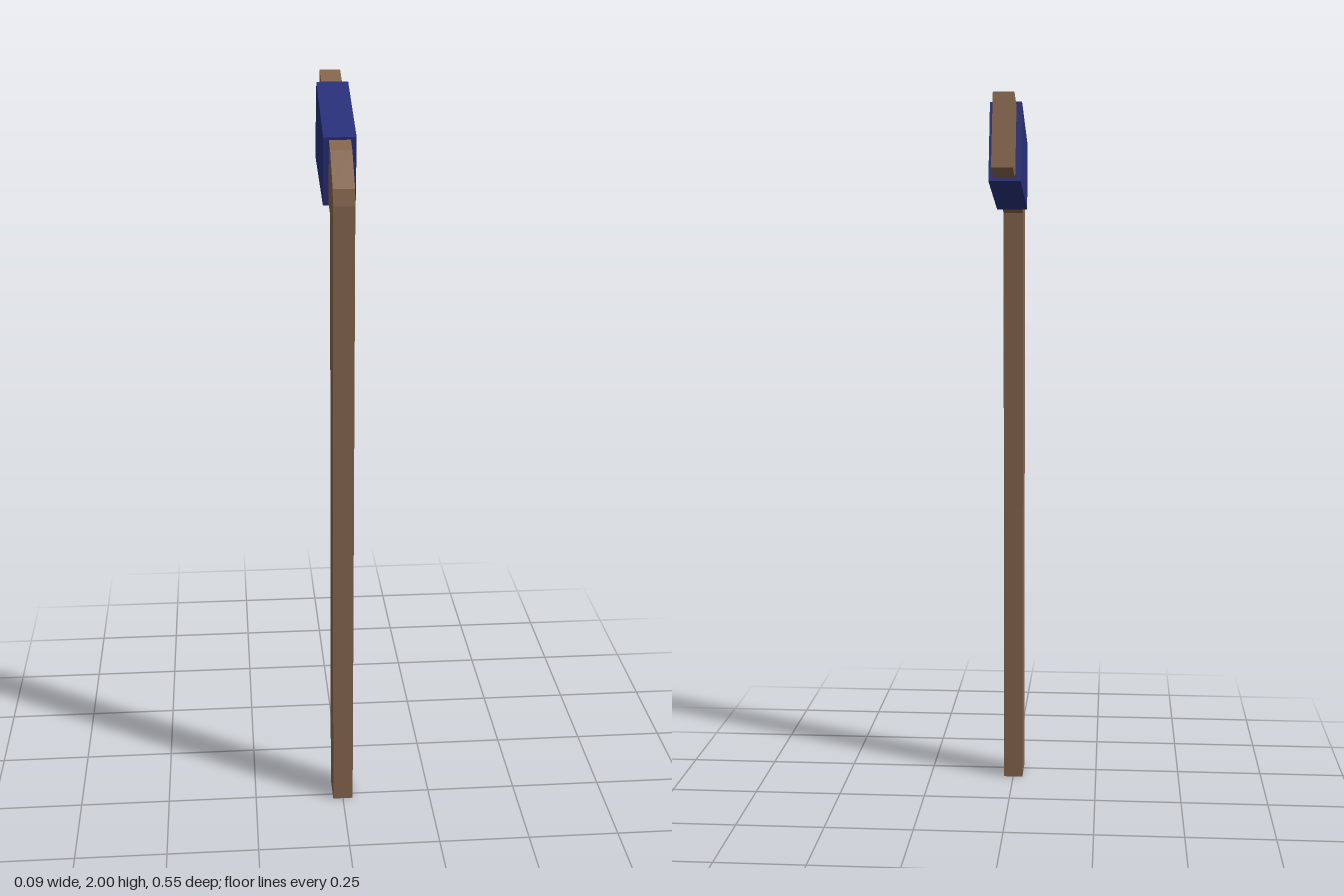
import * as THREE from 'three';

// Side profile given as [z, y] points, extruded to a width centred on x = 0
function slab(name, profile, width, color) {
  const shape = new THREE.Shape(profile.map(([z, y]) => new THREE.Vector2(z, y)));
  const geometry = new THREE.ExtrudeGeometry(shape, { depth: width, bevelEnabled: false });
  geometry.translate(0, 0, -width / 2);
  geometry.rotateY(-Math.PI / 2);
  const mesh = new THREE.Mesh(geometry, new THREE.MeshStandardMaterial({ color, flatShading: true }));
  mesh.name = name;
  return mesh;
}

export function createModel() {
  const model = new THREE.Group();
  model.name = 'hockeyStick';

  // Shaft, bent heel and blade in one piece
  model.add(slab('stick', [
    [0.273, 0], [0.273, 1.73], [0.265, 1.772], [0.182, 1.853], [0.14, 1.871],
    [-0.21, 2], [-0.273, 1.805], [0.175, 1.69], [0.175, 0],
  ], 0.056, 0x85654c));

  // Tape wrapped around the blade
  model.add(slab('bladeTape', [
    [0.14, 1.878], [-0.122, 1.98], [-0.18, 1.773], [0.12, 1.7],
  ], 0.085, 0x28307a));

  return model;
}
